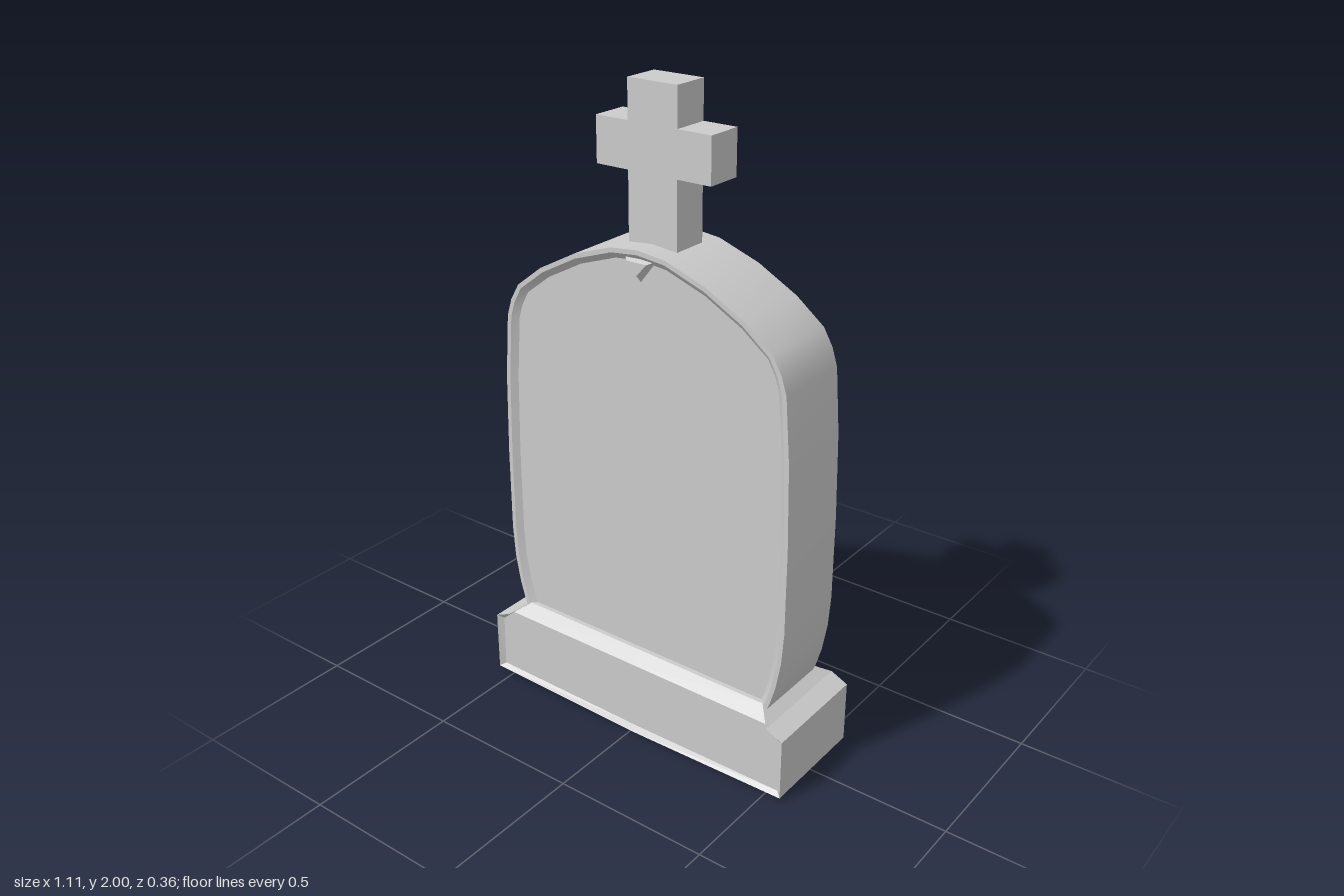
import * as THREE from 'three';
import { toCreasedNormals } from 'three/addons/utils/BufferGeometryUtils.js';

const stone = new THREE.MeshStandardMaterial({ color: 0xcccccc });

function add(group, name, geometry, x = 0, y = 0, z = 0) {
  const mesh = new THREE.Mesh(geometry, stone);
  mesh.name = name;
  mesh.position.set(x, y, z);
  group.add(mesh);
  return mesh;
}

// Turns convex polygons (lists of [x, y, z] corners) into a flat-faced geometry
function polygons(faces) {
  const pos = [];
  for (const f of faces)
    for (let i = 1; i < f.length - 1; i++) pos.push(...f[0], ...f[i], ...f[i + 1]);
  const g = new THREE.BufferGeometry();
  g.setAttribute('position', new THREE.Float32BufferAttribute(pos, 3));
  g.computeVertexNormals();
  return g;
}

// Plinth: one quarter, mirrored in x and z, with recessed long faces and a sloped top
function plinthGeometry() {
  const at = (z, pts) => pts.map(([x, y]) => [x, y, z]);
  const edge = [[0, 0], [0.555, 0.012], [0.555, 0.21], [0.5, 0.235]];
  const i = at(0.167, [[0, 0.018], [0.538, 0.024], [0.535, 0.2], [0.49, 0.24], [0, 0.24]]);
  const o = at(0.18, edge);
  const m = at(0, [...edge, [0.45, 0.27], [0, 0.27]]);
  const r = at(0.125, [[0.45, 0.27], [0, 0.27]]);
  const quarter = [
    i,                                        // recessed face
    [o[0], o[1], i[1], i[0]],                 // rim
    [o[1], o[2], i[2], i[1]],
    [o[2], o[3], i[3], i[2]],
    [o[0], m[0], m[1], o[1]],                 // underside
    [o[1], m[1], m[2], o[2]],                 // end
    [o[2], m[2], m[3], o[3]],                 // end slopes
    [o[3], m[3], m[4], r[0]],
    [i[3], o[3], r[0]],                       // hip
    [i[4], i[3], r[0], r[1]],                 // long slope
    [r[1], r[0], m[4], m[5]],                 // top
  ];
  const faces = [];
  for (const sx of [1, -1]) for (const sz of [1, -1])
    for (const f of quarter) {
      const c = f.map(([x, y, z]) => [x * sx, y, z * sz]);
      faces.push(sx * sz < 0 ? c.reverse() : c);
    }
  return polygons(faces);
}

// Slab: arched outline with a raised rim around recessed front and back faces
function slabGeometry() {
  const half = [[0.46, 0.24], [0.475, 0.28], [0.492, 0.34], [0.508, 0.43], [0.515, 0.53], [0.515, 0.8],
    [0.508, 1.06], [0.492, 1.257], [0.475, 1.31], [0.445, 1.362], [0.355, 1.432], [0.228, 1.5], [0.095, 1.546]];
  const outline = [...half, [0, 1.556], ...half.map(([x, y]) => [-x, y]).reverse()];
  const n = outline.length;
  const inset = (d) => outline.map(([x, y], k) => {
    const a = outline[Math.max(k - 1, 0)], b = outline[Math.min(k + 1, n - 1)];
    const dx = b[0] - a[0], dy = b[1] - a[1], l = Math.hypot(dx, dy);
    return [x - (dy / l) * d, y + (dx / l) * d];
  });
  const ring = (d, z) => inset(d).map(([x, y]) => [x, y, z]);
  const rings = [ring(0.033, 0.11), ring(0.014, 0.126), ring(0, 0.126),
    ring(0, -0.126), ring(0.014, -0.126), ring(0.033, -0.11)];
  const faces = [];
  for (let j = 0; j < rings.length - 1; j++)
    for (let k = 0; k < n; k++) {
      const q = (k + 1) % n, a = rings[j], b = rings[j + 1];
      faces.push([a[k], b[k], b[q], a[q]]);
    }
  // Front and back panels in horizontal strips
  for (let k = 0; k < n / 2 - 1; k++) {
    const f = rings[0], b = rings[5], q = n - 1 - k;
    faces.push([f[k], f[k + 1], f[q - 1], f[q]], [b[q], b[q - 1], b[k + 1], b[k]]);
  }
  return toCreasedNormals(polygons(faces), 0.5);
}

function shapeOf(points) {
  return new THREE.Shape(points.map(([x, y]) => new THREE.Vector2(x, y)));
}

export function createModel() {
  const model = new THREE.Group();
  model.name = 'gravestone';

  add(model, 'plinth', plinthGeometry());
  add(model, 'slab', slabGeometry());

  // Cross standing on the arch
  const arm = [[0.083, 1.53], [0.083, 1.75], [0.193, 1.75], [0.193, 1.885], [0.083, 1.885], [0.083, 2]];
  const crossShape = shapeOf([...arm, ...arm.map(([x, y]) => [-x, y]).reverse()]);
  add(model, 'cross', new THREE.ExtrudeGeometry(crossShape, { depth: 0.116, bevelEnabled: false }), 0, 0, -0.059);

  // Bevelled pointed ornament under the arch, front and back
  const point = new THREE.ExtrudeGeometry(shapeOf([[-0.034, 1.522], [0, 1.484], [0.034, 1.522]]),
    { depth: 0.01, bevelSize: 0.016, bevelThickness: 0.02, bevelSegments: 1 });
  add(model, 'frontPoint', point, 0, 0, 0.1);
  add(model, 'backPoint', point, 0, 0, -0.11);

  // Medallion and plaques on the back
  const disc = new THREE.CylinderGeometry(0.212, 0.212, 0.037, 40).rotateX(Math.PI / 2);
  add(model, 'medallion', disc, 0, 1.062, -0.1185);
  add(model, 'upperPlaque', new THREE.BoxGeometry(0.744, 0.155, 0.03), 0, 0.672, -0.116);
  add(model, 'lowerPlaque', new THREE.BoxGeometry(0.445, 0.16, 0.03), 0, 0.44, -0.116);

  return model;
}
